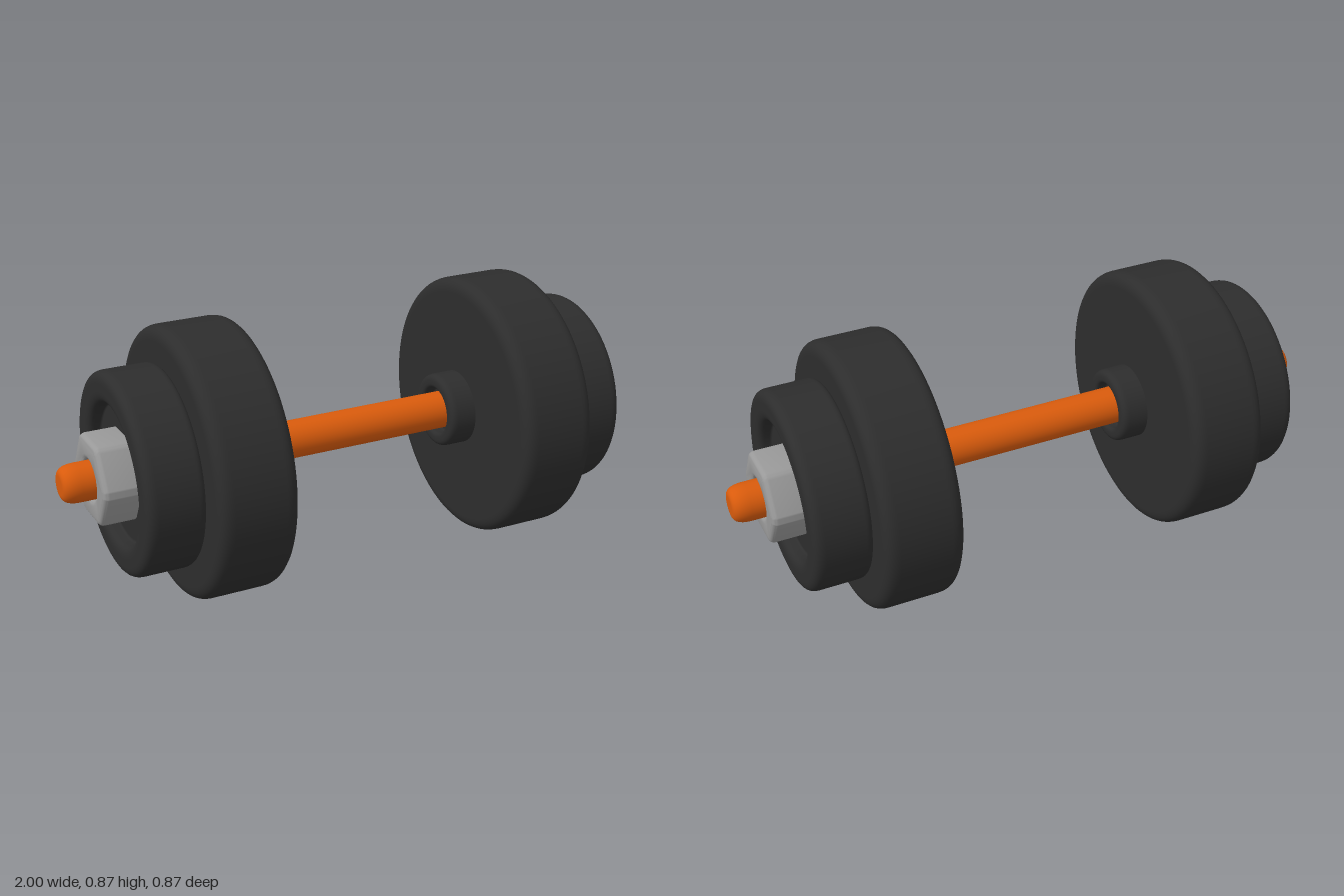
import * as THREE from 'three';
import { toCreasedNormals } from 'three/addons/utils/BufferGeometryUtils.js';

const AXIS_Y = 0.437;
const rubber = new THREE.MeshStandardMaterial({ color: 0x2d2d2d });
const orange = new THREE.MeshStandardMaterial({ color: 0xd95b0c });
const steel = new THREE.MeshStandardMaterial({ color: 0x999999 });

// Profile of [radius, x, fillet] corners with the corners rounded
function roundedProfile(corners) {
  const points = [];
  corners.forEach(([r, x, fillet], i) => {
    const p = new THREE.Vector2(r, x);
    if (!fillet) return points.push(p);
    const toward = ([r2, x2]) => {
      const d = new THREE.Vector2(r2 - r, x2 - x);
      return p.clone().add(d.setLength(Math.min(fillet, d.length() * 0.5)));
    };
    const curve = new THREE.QuadraticBezierCurve(toward(corners[i - 1]), p, toward(corners[i + 1]));
    points.push(...curve.getPoints(7));
  });
  return points;
}

// Solid turned around the x axis
function turned(name, corners, material, segments = 96) {
  const geometry = new THREE.LatheGeometry(roundedProfile(corners), segments);
  geometry.rotateZ(-Math.PI / 2);
  const mesh = new THREE.Mesh(geometry, material);
  mesh.name = name;
  return mesh;
}

// Hexagonal nut with softened corners and a round bore
function hexNut(x0, x1) {
  const R = 0.152, bevel = 0.018;
  const corner = (i) => new THREE.Vector2(Math.cos(i * Math.PI / 3), Math.sin(i * Math.PI / 3)).multiplyScalar(R);
  const shape = new THREE.Shape();
  for (let i = 0; i < 6; i++) {
    const c = corner(i);
    const a = c.clone().lerp(corner(i + 5), 0.15);
    const b = c.clone().lerp(corner(i + 1), 0.15);
    if (i === 0) shape.moveTo(a.x, a.y);
    else shape.lineTo(a.x, a.y);
    shape.quadraticCurveTo(c.x, c.y, b.x, b.y);
  }
  shape.closePath();
  shape.holes.push(new THREE.Path().absarc(0, 0, 0.064, 0, Math.PI * 2, true));
  let geometry = new THREE.ExtrudeGeometry(shape, {
    depth: x1 - x0 - 2 * bevel, bevelEnabled: true, bevelThickness: bevel,
    bevelSize: bevel, bevelOffset: -bevel, bevelSegments: 5, curveSegments: 8,
  });
  geometry.translate(0, 0, x0 + bevel);
  geometry.rotateY(Math.PI / 2);
  geometry = toCreasedNormals(geometry, 0.6);
  const mesh = new THREE.Mesh(geometry, steel);
  mesh.name = 'hexNut';
  return mesh;
}

// Collar, plates and nut for one end, built toward +x
function weightStack(name) {
  const stack = new THREE.Group();
  stack.name = name;
  stack.add(
    turned('innerCollar', [
      [0.06, 0.345, 0], [0.078, 0.345, 0.01], [0.078, 0.305, 0.016],
      [0.123, 0.305, 0.025], [0.123, 0.42, 0],
    ], rubber, 64),
    turned('largePlate', [
      [0.05, 0.395, 0], [0.437, 0.395, 0.045], [0.437, 0.652, 0.045], [0.05, 0.652, 0],
    ], rubber),
    turned('smallPlate', [
      [0.05, 0.648, 0], [0.325, 0.648, 0.025], [0.325, 0.836, 0.035],
      [0.228, 0.836, 0.035], [0.222, 0.79, 0.008], [0.05, 0.79, 0],
    ], rubber),
    hexNut(0.775, 0.907),
  );
  return stack;
}

export function createModel() {
  const model = new THREE.Group();
  model.name = 'dumbbell';
  const body = new THREE.Group();
  body.name = 'dumbbellBody';
  body.position.y = AXIS_Y;

  // Bar with rounded tips
  body.add(turned('bar', [
    [0, -1, 0], [0.062, -1, 0.055], [0.062, 1, 0.055], [0, 1, 0],
  ], orange, 48));

  // Matching weights at both ends
  const left = weightStack('leftWeights');
  const right = weightStack('rightWeights');
  right.rotation.y = Math.PI;
  body.add(left, right);

  model.add(body);
  return model;
}
